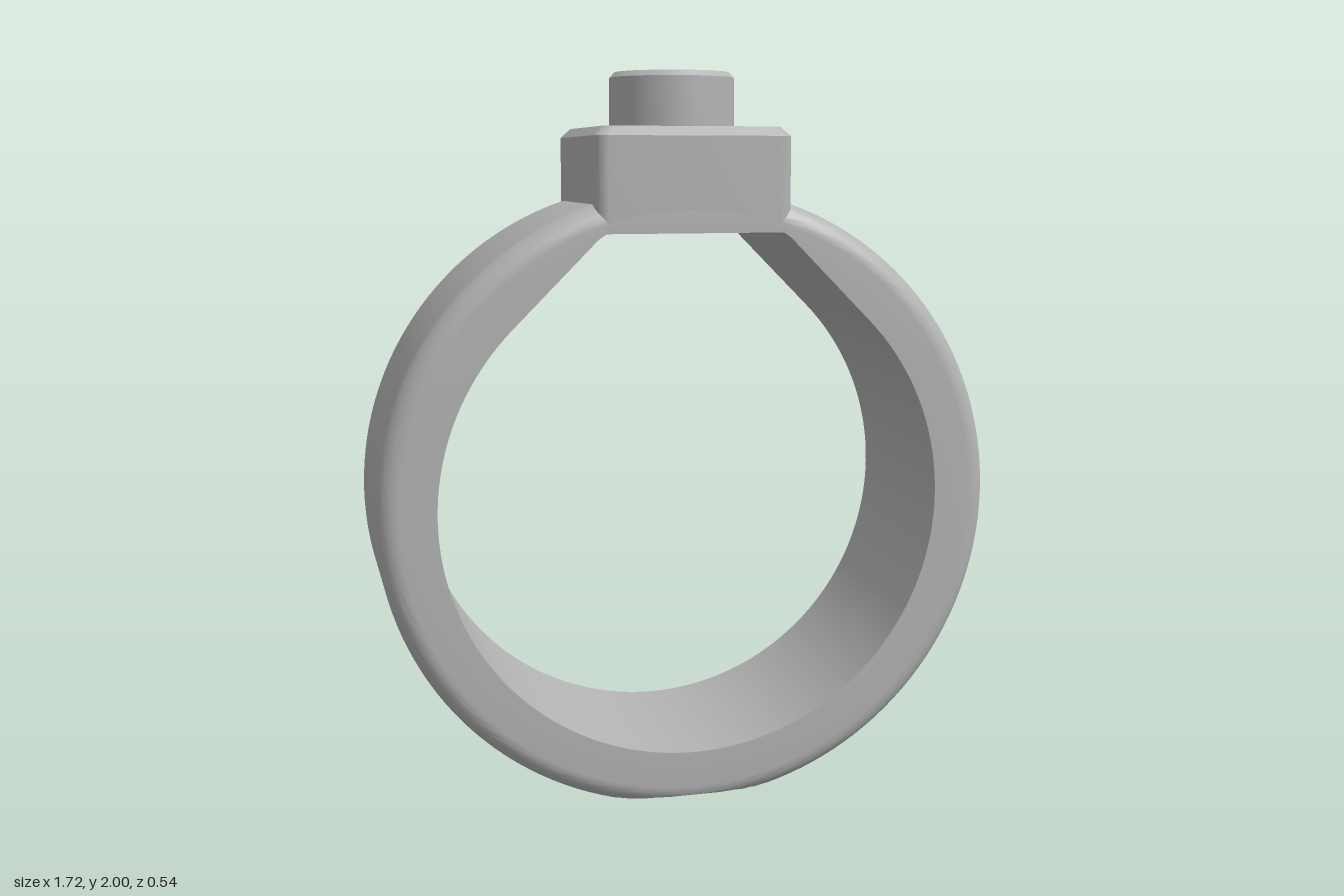
import * as THREE from 'three';
import { toCreasedNormals } from 'three/addons/utils/BufferGeometryUtils.js';

const CREASE = 0.2;

// Skin over a list of cross-sections; every section is a closed loop of Vector3
function loft(sections, closed) {
  const n = sections[0].length, rows = sections.length;
  const index = [];
  for (let i = 0; i < (closed ? rows : rows - 1); i++) {
    for (let j = 0; j < n; j++) {
      const i2 = (i + 1) % rows, j2 = (j + 1) % n;
      const a = i * n + j, b = i2 * n + j, c = i2 * n + j2, d = i * n + j2;
      index.push(a, b, c, a, c, d);
    }
  }
  const geometry = new THREE.BufferGeometry().setFromPoints(sections.flat());
  geometry.setIndex(index);
  return toCreasedNormals(geometry, CREASE);
}

// Band: round outside with filleted rims, flat foot, shouldered opening
function bandGeometry() {
  const R = 0.86, inner = 0.7, centerY = 0.83, w = 0.27, f = 0.06;
  const steps = 144, arc = 10;
  const sections = [];
  for (let i = 0; i < steps; i++) {
    const t = (i / steps) * Math.PI * 2;
    const c = Math.cos(t), s = Math.sin(t);
    // Above 45 degrees the opening follows straight tangents up to the block
    let r = inner;
    if (s > Math.SQRT1_2) {
      r = Math.min(inner / ((Math.abs(c) + s) * Math.SQRT1_2), 0.745 / s);
    }
    const profile = [[r, -w]];
    for (let k = 0; k <= arc; k++) {
      const a = (k / arc) * Math.PI / 2;
      profile.push([R - f + f * Math.sin(a), -w + f - f * Math.cos(a)]);
    }
    for (let k = arc; k >= 0; k--) {
      const a = (k / arc) * Math.PI / 2;
      profile.push([R - f + f * Math.sin(a), w - f + f * Math.cos(a)]);
    }
    profile.push([r, w]);
    sections.push(profile.map(([q, z]) =>
      new THREE.Vector3(q * c, Math.max(0, centerY + q * s), z)));
  }
  return loft(sections, true);
}

// Rounded square loop at height y
function roundedSquare(y, half, radius) {
  const points = [], arc = 10;
  for (let k = 0; k < 4; k++) {
    const mid = (k + 0.5) * Math.PI / 2;
    const cx = Math.sign(Math.cos(mid)) * (half - radius);
    const cz = Math.sign(Math.sin(mid)) * (half - radius);
    for (let j = 0; j <= arc; j++) {
      const a = (k + j / arc) * Math.PI / 2;
      points.push(new THREE.Vector3(cx + radius * Math.cos(a), y, cz + radius * Math.sin(a)));
    }
  }
  return points;
}

// Block with a chamfered top edge
function blockGeometry() {
  return loft([
    roundedSquare(1.57, 0, 0),
    roundedSquare(1.57, 0.27, 0.035),
    roundedSquare(1.825, 0.27, 0.035),
    roundedSquare(1.85, 0.245, 0.03),
    roundedSquare(1.85, 0, 0),
  ], false);
}

// Round stud with a small chamfer
function studGeometry() {
  const profile = [[0.173, 1.84], [0.173, 1.985], [0.158, 2], [0, 2]]
    .map(([r, y]) => new THREE.Vector2(r, y));
  return toCreasedNormals(new THREE.LatheGeometry(profile, 64), CREASE);
}

export function createModel() {
  const metal = new THREE.MeshStandardMaterial({ color: 0xb4b4b4 });
  metal.name = 'grey metal';
  const group = new THREE.Group();
  group.name = 'ring';
  const parts = { band: bandGeometry(), settingBlock: blockGeometry(), topStud: studGeometry() };
  for (const [name, geometry] of Object.entries(parts)) {
    const mesh = new THREE.Mesh(geometry, metal);
    mesh.name = name;
    group.add(mesh);
  }
  return group;
}
